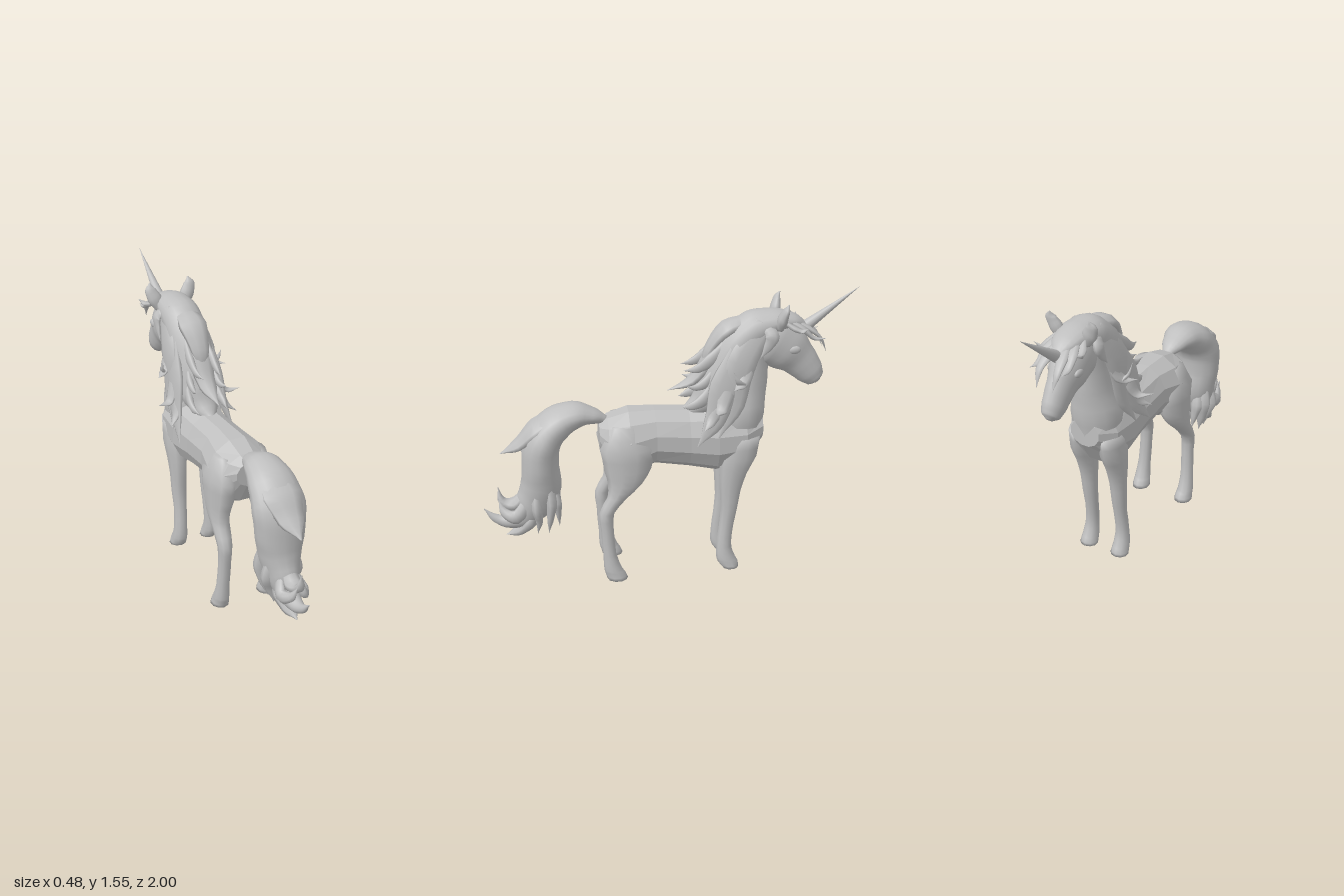
import * as THREE from 'three';

const grey = new THREE.MeshStandardMaterial({ color: 0xbfbfbf });
grey.name = 'stone grey';
const X = new THREE.Vector3(1, 0, 0), Y = new THREE.Vector3(0, 1, 0);
const DOWN = new THREE.Vector3(0, -1, 0), FORWARD = new THREE.Vector3(0, 0, -1);

// Skin of elliptical rings; each station is [x, y, z, half width, half depth].
// axis fixes the ring plane, otherwise rings stand square to the path.
function loft(stations, { n = 14, sub = 4, axis = null, side = X, flat = false } = {}) {
  const path = new THREE.CatmullRomCurve3(stations.map(s => new THREE.Vector3(s[0], s[1], s[2])));
  const rows = (stations.length - 1) * sub, pos = [], idx = [];
  for (let i = 0; i <= rows; i++) {
    const t = i / rows, c = path.getPoint(t);
    const k = Math.min(Math.floor(i / sub), stations.length - 2), f = i / sub - k;
    const g = f * f * (3 - 2 * f) * 0.5 + f * 0.5;
    const a = THREE.MathUtils.lerp(stations[k][3], stations[k + 1][3], g);
    const b = THREE.MathUtils.lerp(stations[k][4], stations[k + 1][4], g);
    const T = axis ? axis.clone() : path.getTangent(t);
    const N = T.clone().cross(side).normalize(), S = N.clone().cross(T);
    for (let j = 0; j < n; j++) {
      const q = (j + 0.5) / n * Math.PI * 2;
      const p = c.clone().addScaledVector(S, a * Math.cos(q)).addScaledVector(N, b * Math.sin(q));
      pos.push(p.x, p.y, p.z);
    }
  }
  for (let i = 0; i < rows; i++) for (let j = 0; j < n; j++) {
    const a = i * n + j, b = i * n + (j + 1) % n;
    idx.push(a, b, a + n, b, b + n, a + n);
  }
  // end caps
  for (const [row, st] of [[0, stations[0]], [rows, stations[stations.length - 1]]]) {
    const m = pos.length / 3;
    pos.push(st[0], st[1], st[2]);
    for (let j = 0; j < n; j++) {
      const a = row * n + j, b = row * n + (j + 1) % n;
      row ? idx.push(a, b, m) : idx.push(b, a, m);
    }
  }
  let geo = new THREE.BufferGeometry();
  geo.setAttribute('position', new THREE.Float32BufferAttribute(pos, 3));
  geo.setIndex(idx);
  if (flat) geo = geo.toNonIndexed();
  geo.computeVertexNormals();
  return geo;
}

export function createModel() {
  const model = new THREE.Group();
  model.name = 'unicorn';
  const add = (name, geo) => {
    const mesh = new THREE.Mesh(geo, grey);
    mesh.name = name;
    model.add(mesh);
    return mesh;
  };
  const flip = (pts, s) => pts.map(([x, ...rest]) => [x * s, ...rest]);
  const taper = [0.7, 1, 0.65, 0.03];
  // Flat pointed lock of hair through four points
  const lock = (name, pts, width, thick, side = Y) => add(name, loft(
    pts.map((p, i) => [...p, width * taper[i], thick * taper[i]]), { n: 8, sub: 4, side }));

  // Trunk, angular
  add('trunk', loft([
    [0, 0.81, 0.375, 0.08, 0.07], [0, 0.77, 0.33, 0.145, 0.14], [0, 0.755, 0.22, 0.172, 0.19],
    [0, 0.785, 0.08, 0.142, 0.158], [0, 0.765, -0.1, 0.14, 0.168], [0, 0.755, -0.25, 0.155, 0.19],
    [0, 0.765, -0.4, 0.145, 0.165], [0, 0.81, -0.495, 0.085, 0.075],
  ], { n: 12, sub: 1, axis: FORWARD, flat: true }));

  // Neck
  add('neck', loft([
    [0, 1.36, -0.46, 0.075, 0.09], [0, 1.2, -0.415, 0.085, 0.115], [0, 1.05, -0.39, 0.1, 0.135],
    [0, 0.9, -0.37, 0.135, 0.145], [0, 0.75, -0.38, 0.12, 0.11],
  ], { axis: DOWN, sub: 3 }));

  // Head with rounded muzzle
  add('head', loft([
    [0, 1.34, -0.43, 0.06, 0.08], [0, 1.29, -0.54, 0.093, 0.145], [0, 1.235, -0.62, 0.088, 0.13],
    [0, 1.17, -0.69, 0.066, 0.098], [0, 1.1, -0.75, 0.058, 0.078],
    [0, 1.06, -0.782, 0.046, 0.056], [0, 1.042, -0.797, 0.015, 0.02],
  ], { n: 18 }));

  // Horn
  const foot = new THREE.Vector3(0, 1.33, -0.69), tip = new THREE.Vector3(0, 1.555, -1);
  const horn = add('horn', new THREE.ConeGeometry(0.034, foot.distanceTo(tip), 16));
  horn.position.copy(foot).lerp(tip, 0.5);
  horn.quaternion.setFromUnitVectors(Y, tip.clone().sub(foot).normalize());

  for (const s of [1, -1]) {
    const label = s > 0 ? 'left' : 'right';

    // Legs with hoofs
    add(label + 'HindLeg', loft(flip([
      [0.1, 0.88, 0.25, 0.04, 0.06], [0.108, 0.76, 0.235, 0.076, 0.145], [0.115, 0.64, 0.235, 0.068, 0.125],
      [0.125, 0.56, 0.25, 0.056, 0.092], [0.13, 0.49, 0.292, 0.048, 0.055], [0.135, 0.4, 0.352, 0.04, 0.04],
      [0.135, 0.3, 0.352, 0.035, 0.034], [0.14, 0.15, 0.342, 0.036, 0.035],
      [0.142, 0.06, 0.325, 0.043, 0.049], [0.14, 0.035, 0.314, 0.046, 0.054], [0.14, 0, 0.302, 0.05, 0.056],
    ], s), { n: 10, sub: 2, axis: DOWN }));
    add(label + 'FrontLeg', loft(flip([
      [0.085, 0.78, -0.38, 0.06, 0.1], [0.09, 0.66, -0.36, 0.06, 0.1], [0.09, 0.56, -0.335, 0.052, 0.075],
      [0.09, 0.46, -0.322, 0.045, 0.057], [0.09, 0.36, -0.317, 0.042, 0.046], [0.09, 0.25, -0.303, 0.036, 0.04],
      [0.095, 0.13, -0.291, 0.037, 0.04], [0.097, 0.06, -0.302, 0.043, 0.052],
      [0.097, 0.03, -0.315, 0.046, 0.055], [0.097, 0, -0.328, 0.05, 0.047],
    ], s), { n: 10, sub: 2, axis: DOWN }));

    // Ear and eye
    add(label + 'Ear', loft(flip([
      [0.07, 1.37, -0.565, 0.026, 0.024], [0.095, 1.425, -0.575, 0.04, 0.028],
      [0.115, 1.475, -0.588, 0.032, 0.018], [0.112, 1.51, -0.602, 0.003, 0.003],
    ], s), { n: 10 }));
    const eye = add(label + 'Eye', new THREE.SphereGeometry(0.03, 14, 10));
    eye.position.set(s * 0.077, 1.25, -0.645);
    eye.scale.set(0.5, 0.75, 1.2);

    // Side locks of the mane: [points, width, thickness]
    const sideLocks = [
      [[[0.075, 1.4, -0.49], [0.112, 1.2, -0.36], [0.125, 0.98, -0.33], [0.15, 0.8, -0.24]], 0.085, 0.025],
      [[[0.09, 1.3, -0.38], [0.118, 1.08, -0.28], [0.14, 0.9, -0.22], [0.165, 0.77, -0.13]], 0.09, 0.024],
      [[[0.1, 1.2, -0.32], [0.13, 1.04, -0.28], [0.17, 0.965, -0.25], [0.24, 0.975, -0.22]], 0.045, 0.02],
      [[[0.1, 1.26, -0.43], [0.125, 1.13, -0.38], [0.155, 1.095, -0.35], [0.2, 1.09, -0.31]], 0.04, 0.018],
      [[[0.11, 1.16, -0.4], [0.135, 1.1, -0.37], [0.165, 1.12, -0.34], [0.172, 1.18, -0.31]], 0.026, 0.014],
      [[[0.1, 1.12, -0.3], [0.13, 0.97, -0.24], [0.155, 0.9, -0.2], [0.195, 0.87, -0.16]], 0.04, 0.02],
      [[[0.09, 1.38, -0.5], [0.11, 1.34, -0.52], [0.115, 1.29, -0.5], [0.12, 1.23, -0.46]], 0.04, 0.018],
    ];
    for (const [pts, w, th] of sideLocks) lock(label + 'ManeLock', flip(pts, s), w, th, FORWARD);

    // Locks blown backwards off the mane
    const backLocks = [
      [[[0.05, 1.3, -0.3], [0.06, 1.21, -0.21], [0.06, 1.165, -0.14], [0.05, 1.155, -0.07]], 0.035, 0.02],
      [[[0.07, 1.1, -0.24], [0.085, 1.0, -0.17], [0.09, 0.97, -0.11], [0.08, 0.96, -0.06]], 0.035, 0.02],
      [[[0.06, 1.18, -0.25], [0.075, 1.09, -0.18], [0.08, 1.07, -0.13], [0.09, 1.08, -0.08]], 0.028, 0.018],
    ];
    for (const [pts, w, th] of backLocks) lock(label + 'BackLock', flip(pts, s), w, th);

    // Forelock
    const foreLocks = [
      [[[0.02, 1.4, -0.64], [0.04, 1.35, -0.73], [0.05, 1.3, -0.79], [0.045, 1.22, -0.825]], 0.03, 0.014],
      [[[0.04, 1.41, -0.6], [0.07, 1.36, -0.69], [0.08, 1.31, -0.75], [0.09, 1.31, -0.81]], 0.03, 0.016],
      [[[0.06, 1.41, -0.58], [0.09, 1.37, -0.64], [0.11, 1.36, -0.68], [0.14, 1.385, -0.7]], 0.026, 0.014],
    ];
    for (const [pts, w, th] of foreLocks) lock(label + 'Forelock', flip(pts, s), w, th, X);

    // Curled tips at the end of the tail
    const tailLocks = [
      [[[0.05, 0.6, 0.66], [0.07, 0.45, 0.64], [0.06, 0.35, 0.65], [0.04, 0.25, 0.66]], 0.05, 0.03],
      [[[0.03, 0.55, 0.64], [0.05, 0.44, 0.61], [0.04, 0.37, 0.605], [0.025, 0.28, 0.6]], 0.035, 0.025],
      [[[0.04, 0.55, 0.72], [0.07, 0.42, 0.72], [0.05, 0.33, 0.71], [0.04, 0.25, 0.72]], 0.05, 0.03],
      [[[0.03, 0.46, 0.76], [0.06, 0.37, 0.83], [0.04, 0.39, 0.89], [0.02, 0.46, 0.92]], 0.03, 0.04],
    ];
    for (const [pts, w, th] of tailLocks) lock(label + 'TailLock', flip(pts, s), w, th, X);
  }

  // Main mane from forehead to withers
  add('mane', loft([
    [0, 1.35, -0.72, 0.03, 0.02], [0, 1.39, -0.64, 0.075, 0.04], [0, 1.39, -0.54, 0.098, 0.065],
    [0, 1.355, -0.45, 0.108, 0.1], [0, 1.27, -0.355, 0.114, 0.105], [0, 1.13, -0.285, 0.116, 0.112],
    [0, 1.0, -0.22, 0.11, 0.095], [0, 0.93, -0.13, 0.06, 0.045], [0, 0.91, -0.06, 0.01, 0.008],
  ], { n: 16 }));
  lock('maneCentreLock', [[0, 1.38, -0.34], [0, 1.22, -0.23], [0, 1.08, -0.12], [0, 1.03, 0.01]], 0.075, 0.04, X);
  lock('maneTopLock', [[0, 1.4, -0.42], [0, 1.36, -0.3], [0, 1.25, -0.21], [0, 1.14, -0.17]], 0.08, 0.04, X);

  // Tail, arched then falling, with its pointed locks
  add('tail', loft([
    [0, 0.88, 0.33, 0.025, 0.02], [0, 0.912, 0.41, 0.068, 0.042], [0, 0.92, 0.5, 0.1, 0.07],
    [0, 0.875, 0.6, 0.128, 0.09], [0, 0.78, 0.675, 0.145, 0.1], [0, 0.65, 0.69, 0.135, 0.1],
    [0, 0.53, 0.69, 0.113, 0.11], [0, 0.42, 0.73, 0.085, 0.105], [0, 0.35, 0.79, 0.06, 0.07],
    [0, 0.32, 0.87, 0.04, 0.04], [0, 0.34, 0.94, 0.022, 0.024], [0, 0.4, 1, 0.002, 0.002],
  ], { n: 16 }));
  lock('tailTopLock', [[0, 0.93, 0.58], [0, 0.86, 0.7], [0, 0.77, 0.8], [0, 0.72, 0.9]], 0.11, 0.045, X);
  lock('tailUpperTip', [[0, 0.5, 0.76], [0, 0.42, 0.84], [0, 0.44, 0.9], [0, 0.525, 0.92]], 0.05, 0.035, X);
  lock('tailLowerTip', [[0, 0.42, 0.72], [0, 0.32, 0.76], [0, 0.26, 0.82], [0, 0.235, 0.89]], 0.07, 0.045, X);
  return model;
}
